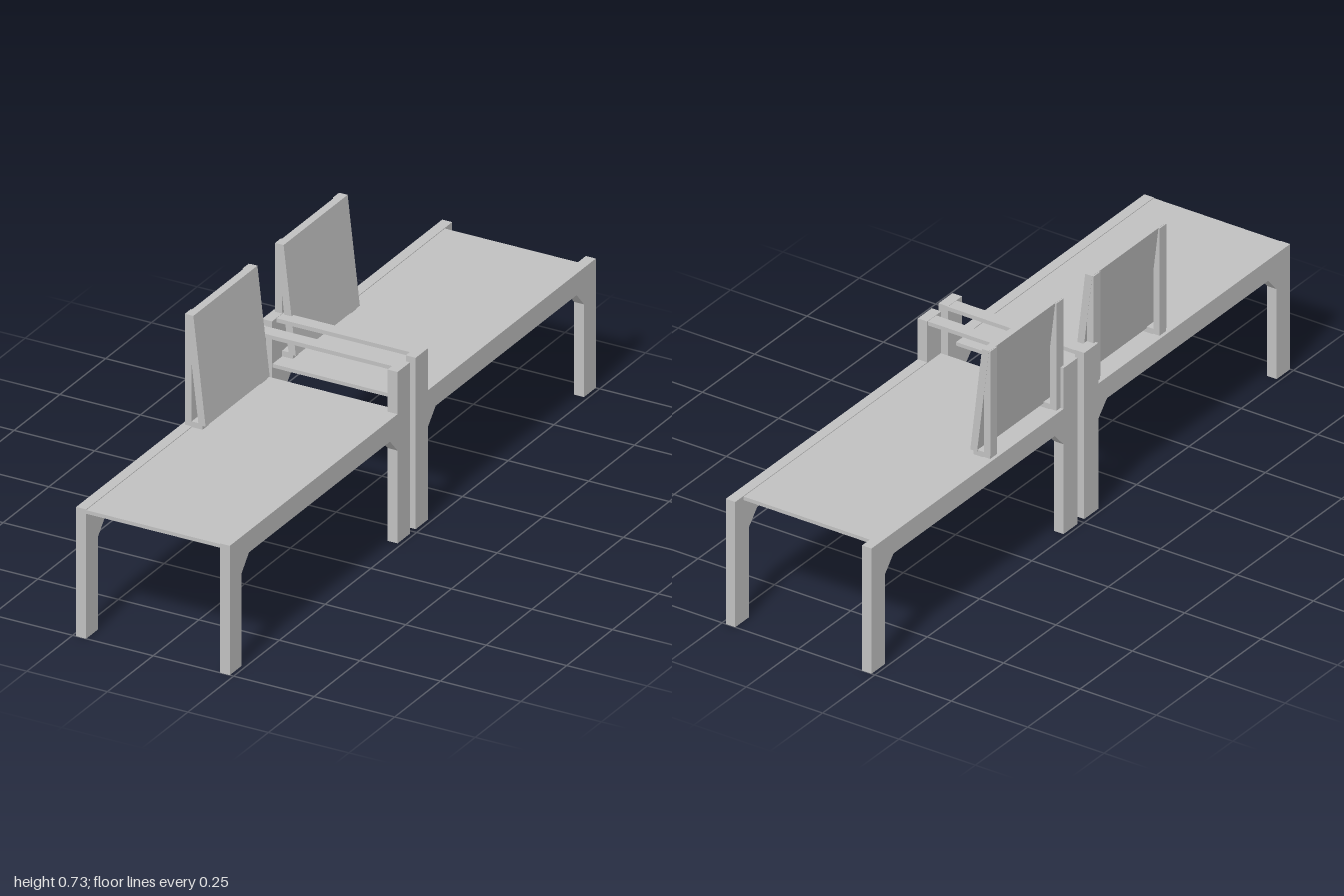
import * as THREE from 'three';

const grey = new THREE.MeshStandardMaterial({ color: 0xc0c0c0 });
grey.name = 'plain grey';

// Box given by its min and max on each axis
function box(name, x0, x1, y0, y1, z0, z1) {
  const mesh = new THREE.Mesh(new THREE.BoxGeometry(x1 - x0, y1 - y0, z1 - z0), grey);
  mesh.position.set((x0 + x1) / 2, (y0 + y1) / 2, (z0 + z1) / 2);
  mesh.name = name;
  return mesh;
}

function shapeOf(points) {
  return new THREE.Shape(points.map(([a, b]) => new THREE.Vector2(a, b)));
}

// Legs, apron and arm post as one slab; the profile is drawn in (z, y)
function sideFrame(name, x0, dir) {
  const profile = [
    [1, 0], [1, 0.39], [0.083, 0.39], [0.083, 0.517], [0.016, 0.517], [0.016, 0],
    [0.083, 0], [0.083, 0.28], [0.125, 0.325], [0.895, 0.325], [0.935, 0.28], [0.935, 0],
  ].map(([z, y]) => [-z * dir, y]);
  const geo = new THREE.ExtrudeGeometry(shapeOf(profile), { depth: 0.031, bevelEnabled: false });
  geo.rotateY(Math.PI / 2);
  const mesh = new THREE.Mesh(geo, grey);
  mesh.position.x = x0;
  mesh.name = name;
  return mesh;
}

// Leaning back panel with two uprights and feet, starting at z0
function backrest(z0) {
  const group = new THREE.Group();
  group.name = 'backrest';
  const width = 0.35, post = 0.034;
  const panelShape = shapeOf([[-0.187, 0.4], [-0.165, 0.4], [-0.203, 0.725], [-0.226, 0.725]]);
  const panel = new THREE.Mesh(
    new THREE.ExtrudeGeometry(panelShape, { depth: width, bevelEnabled: false }), grey);
  panel.position.z = z0;
  panel.name = 'leaningPanel';
  group.add(panel);
  for (const z of [z0, z0 + width - post]) {
    group.add(box('upright', -0.23, -0.209, 0.4, 0.7245, z + 0.0005, z + post - 0.0005));
    group.add(box('foot', -0.229, -0.175, 0.388, 0.405, z + 0.001, z + post - 0.001));
  }
  return group;
}

function bench(name, dir) {
  const group = new THREE.Group();
  group.name = name;
  group.add(sideFrame('rightFrame', -0.239, dir), sideFrame('leftFrame', 0.207, dir));
  // The seat and rail sit towards opposite ends of the frame on each bench
  const [s0, s1] = dir > 0 ? [0.055, 1] : [-0.96, -0.018];
  const [r0, r1] = dir > 0 ? [0.016, 0.057] : [-0.08, -0.04];
  group.add(box('seat', -0.208, 0.207, 0.377, 0.388, s0, s1));
  group.add(box('armRail', -0.208, 0.207, 0.504, 0.516, r0, r1));
  group.add(backrest(dir > 0 ? 0.073 : -0.42));
  return group;
}

export function createModel() {
  const model = new THREE.Group();
  model.name = 'pairedBenches';
  model.add(bench('frontBench', 1), bench('backBench', -1));
  return model;
}
